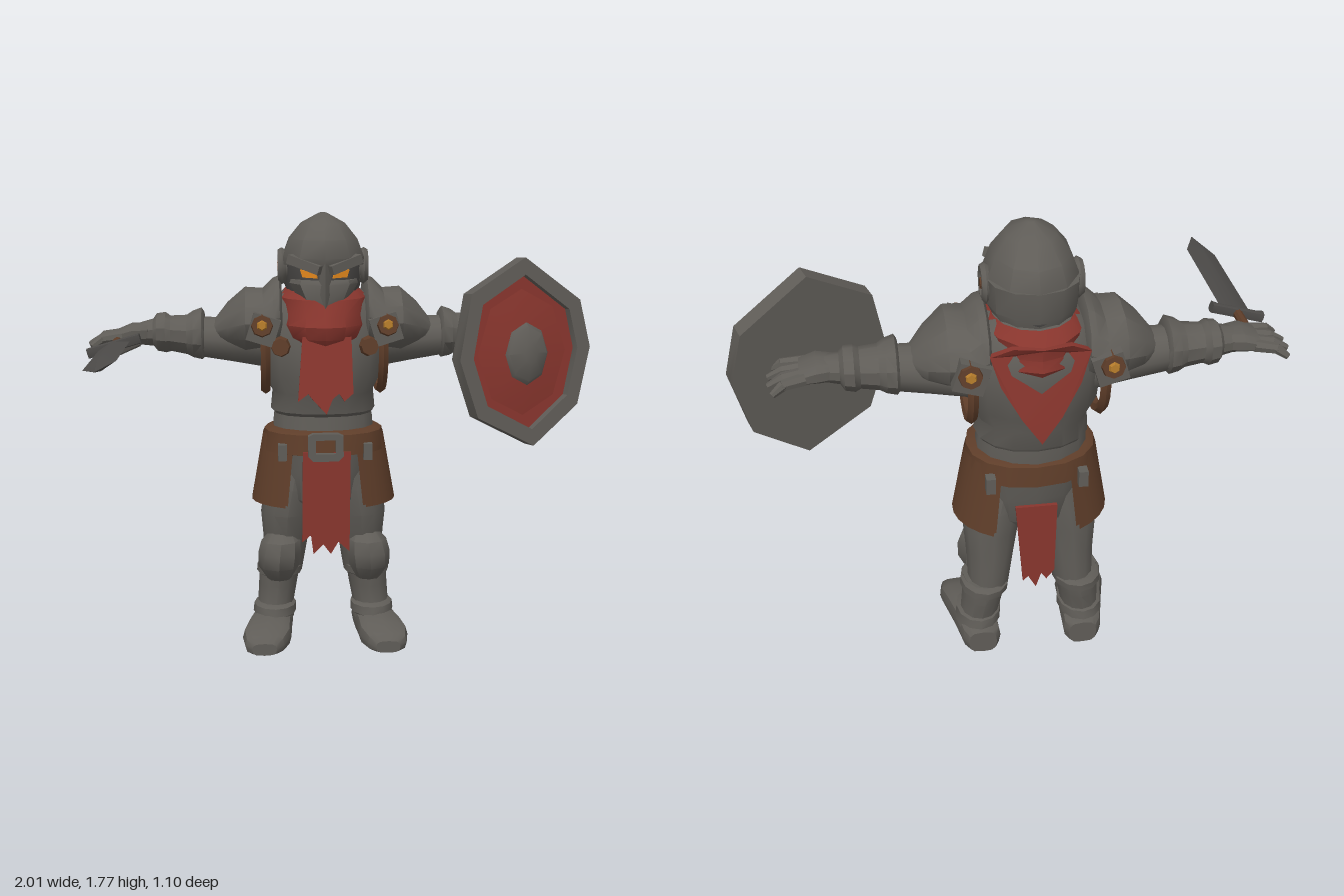
import * as THREE from 'three';
import { toCreasedNormals } from 'three/addons/utils/BufferGeometryUtils.js';

const paint = (name, color, side = THREE.FrontSide) => {
  const m = new THREE.MeshStandardMaterial({ color, side });
  m.name = name;
  return m;
};

// Skin over elliptical rings along an axis (0 x, 1 y, 2 z).
// Ring: [position, centreA, centreB, radiusA, radiusB], A and B being the next two axes in cyclic order.
function loft(axis, rings, n = 12, power = 1) {
  const pos = [], idx = [], a = (axis + 1) % 3, b = (axis + 2) % 3;
  const sp = v => Math.sign(v) * Math.pow(Math.abs(v), power);
  const put = (t, u, v) => { const p = [0, 0, 0]; p[axis] = t; p[a] = u; p[b] = v; pos.push(...p); };
  for (const [t, ca, cb, ra, rb] of rings)
    for (let i = 0; i < n; i++) {
      const w = i / n * Math.PI * 2;
      put(t, ca + ra * sp(Math.cos(w)), cb + rb * sp(Math.sin(w)));
    }
  for (let r = 0; r < rings.length - 1; r++)
    for (let i = 0; i < n; i++) {
      const p = r * n + i, q = r * n + (i + 1) % n;
      idx.push(p, q, q + n, p, q + n, p + n);
    }
  const last = rings.length - 1, end = last * n, c = pos.length / 3;
  put(...rings[0]); put(...rings[last]);
  for (let i = 0; i < n; i++) {
    const j = (i + 1) % n;
    idx.push(c, j, i, c + 1, end + i, end + j);
  }
  const g = new THREE.BufferGeometry();
  g.setAttribute('position', new THREE.Float32BufferAttribute(pos, 3));
  g.setIndex(idx);
  return g;
}

// Tapered rod between two points
function rod(from, to, r1, r2, n = 7) {
  const A = new THREE.Vector3(...from), B = new THREE.Vector3(...to), d = B.clone().sub(A);
  const g = new THREE.CylinderGeometry(r2, r1, d.length(), n);
  g.applyQuaternion(new THREE.Quaternion().setFromUnitVectors(new THREE.Vector3(0, 1, 0), d.normalize()));
  return g.translate(...A.add(B).multiplyScalar(0.5).toArray());
}

const outline = pts => new THREE.Shape(pts.map(p => new THREE.Vector2(...p)));
const slab = (shape, depth) => new THREE.ExtrudeGeometry(shape, { depth, bevelEnabled: false });
const box = (w, h, d, x, y, z) => new THREE.BoxGeometry(w, h, d).translate(x, y, z);

function mirror(geo) {
  const g = geo.index ? geo.toNonIndexed() : geo.clone();
  g.scale(-1, 1, 1);
  const p = g.attributes.position, v = new THREE.Vector3(), w = new THREE.Vector3();
  for (let i = 0; i < p.count; i += 3) {
    v.fromBufferAttribute(p, i); w.fromBufferAttribute(p, i + 2);
    p.setXYZ(i, w.x, w.y, w.z); p.setXYZ(i + 2, v.x, v.y, v.z);
  }
  return g;
}

export function createModel() {
  const steel = paint('armour grey', 0x5f5c57), red = paint('cloth red', 0x87352d);
  const leather = paint('leather brown', 0x5e3d29, THREE.DoubleSide);
  const dark = paint('dark steel', 0x4c4a48), glow = paint('eye orange', 0xe0861c), gold = paint('stud gold', 0xb27a2a);
  const root = new THREE.Group(), body = new THREE.Group();
  root.name = 'armouredWarrior';
  body.name = 'body';
  body.position.set(-0.07, 0, -0.28);
  root.add(body);

  const add = (name, geo, mat, parent = body) => {
    geo.deleteAttribute('uv');
    geo.deleteAttribute('normal');
    const m = new THREE.Mesh(toCreasedNormals(geo, 0.65), mat);
    m.name = name;
    parent.add(m);
    return m;
  };
  const pair = (name, geo, mat) => { add('left' + name, geo, mat); add('right' + name, mirror(geo), mat); };

  // Helmet with overhanging brow and pointed mask
  add('face', loft(1, [[1.4, 0, 0, 0.13, 0.11], [1.48, 0, 0, 0.175, 0.15], [1.58, 0, 0, 0.175, 0.16]], 12), dark);
  add('helmetBack', loft(1, [[1.44, -0.04, 0, 0.12, 0.13], [1.5, -0.03, 0, 0.15, 0.16], [1.6, -0.03, 0, 0.15, 0.165]]), steel);
  add('helmet', loft(1, [[1.57, 0.02, 0, 0.2, 0.165], [1.6, 0.025, 0, 0.205, 0.167], [1.67, 0.03, 0, 0.18, 0.14],
    [1.73, 0.04, 0, 0.115, 0.09], [1.77, 0.04, 0, 0.015, 0.015]], 10), steel);
  add('mask', loft(1, [[1.36, 0.13, 0, 0.085, 0.035], [1.42, 0.11, 0, 0.115, 0.09], [1.5, 0.1, 0, 0.12, 0.135],
    [1.515, 0.1, 0, 0.11, 0.13]], 8), steel);
  add('noseRidge', loft(1, [[1.36, 0.2, 0, 0.02, 0.012], [1.46, 0.205, 0, 0.035, 0.025], [1.6, 0.2, 0, 0.025, 0.02]], 4), steel);
  pair('Brow', box(0.14, 0.035, 0.05, 0, 0, 0).rotateZ(0.3).rotateY(0.5).translate(0.075, 1.578, 0.185), steel);
  pair('Eye', slab(outline([[-0.035, -0.014], [0.025, -0.012], [0.036, 0.018], [-0.03, 0.004]]), 0.009)
    .rotateY(0.42).translate(0.06, 1.54, 0.187), glow);
  pair('EarRing', new THREE.TorusGeometry(0.055, 0.018, 6, 12).rotateY(Math.PI / 2).translate(0.163, 1.56, 0.01), steel);
  pair('EarDisc', rod([0.12, 1.56, 0.01], [0.17, 1.56, 0.01], 0.055, 0.055, 12), steel);
  pair('EarStud', rod([0.16, 1.56, 0.01], [0.18, 1.56, 0.01], 0.025, 0.02, 8), leather);

  // Torso
  add('belly', loft(1, [[0.84, -0.01, 0, 0.17, 0.21], [0.95, -0.02, 0, 0.165, 0.205], [1.08, -0.02, 0, 0.15, 0.18]], 14), steel);
  add('chestPlate', loft(1, [[0.97, -0.02, 0, 0.165, 0.2], [0.985, -0.015, 0, 0.18, 0.212], [1.06, -0.01, 0, 0.19, 0.205],
    [1.13, -0.01, 0, 0.215, 0.24], [1.25, -0.02, 0, 0.222, 0.25], [1.36, -0.03, 0, 0.21, 0.24],
    [1.44, -0.03, 0, 0.17, 0.19], [1.5, -0.02, 0, 0.1, 0.1]], 16, 0.9), steel);

  // Scarf, bib and back cape
  add('scarf', loft(1, [[1.23, 0.07, 0, 0.13, 0.09], [1.29, 0.015, 0, 0.24, 0.16], [1.34, 0.005, 0, 0.262, 0.18],
    [1.38, 0, 0, 0.245, 0.172], [1.44, -0.02, 0, 0.235, 0.18], [1.47, -0.02, 0, 0.17, 0.15], [1.42, -0.02, 0, 0.12, 0.1]], 14), red);
  add('bib', slab(outline([[-0.09, 0], [-0.11, -0.25], [-0.07, -0.22], [-0.055, -0.24], [0, -0.3], [0.025, -0.24],
    [0.05, -0.22], [0.07, -0.25], [0.105, -0.22], [0.1, 0]]), 0.012).rotateX(-0.2).translate(0, 1.3, 0.215), red);
  const cape = slab(outline([[0, 0.02], [-0.1, 0.02], [-0.175, -0.03], [-0.14, -0.14], [-0.07, -0.26], [0, -0.36],
    [0.07, -0.26], [0.14, -0.14], [0.175, -0.03], [0.1, 0.02]]), 0.025);
  const cp = cape.attributes.position;
  for (let i = 0; i < cp.count; i++) cp.setZ(i, cp.getZ(i) + 2 * cp.getX(i) ** 2);
  add('backCape', cape.translate(0, 1.42, -0.272), red);

  // Shoulders with studs and leather straps
  pair('Pauldron', loft(0, [[0.165, 1.37, -0.025, 0.13, 0.17], [0.175, 1.37, -0.025, 0.15, 0.19], [0.2, 1.365, -0.025, 0.145, 0.195],
    [0.24, 1.345, -0.025, 0.125, 0.195], [0.31, 1.345, -0.025, 0.13, 0.185], [0.38, 1.325, -0.03, 0.09, 0.135],
    [0.435, 1.305, -0.03, 0.04, 0.07]], 12), steel);
  for (const [end, s, z] of [['Front', 1, 0.165], ['Back', -1, -0.215]]) {
    pair(end + 'Clasp', box(0.11, 0.11, 0.07, 0, 0, 0).rotateZ(0.3).translate(0.24, 1.325, z - s * 0.01), steel);
    pair(end + 'Stud', rod([0.245, 1.335, z - s * 0.02], [0.245, 1.345, z + s * 0.045], 0.05, 0.04, 8), leather);
    pair(end + 'StudCap', rod([0.245, 1.345, z + s * 0.04], [0.245, 1.347, z + s * 0.055], 0.024, 0.016, 6), gold);
  }
  pair('StrapButton', rod([0.17, 1.255, 0.14], [0.175, 1.26, 0.205], 0.042, 0.034, 8), leather);
  pair('ArmStrap', new THREE.TorusGeometry(0.18, 0.02, 5, 20).rotateY(Math.PI / 2).translate(0.232, 1.24, -0.02), leather);

  // Arms and gauntlets
  pair('UpperArm', loft(0, [[0.18, 1.25, -0.03, 0.11, 0.13], [0.36, 1.262, -0.035, 0.09, 0.1], [0.5, 1.275, -0.035, 0.08, 0.09]]), steel);
  pair('Gauntlet', loft(0, [[0.475, 1.285, -0.035, 0.09, 0.1], [0.485, 1.287, -0.035, 0.105, 0.113], [0.52, 1.285, -0.035, 0.095, 0.105],
    [0.545, 1.283, -0.035, 0.08, 0.09], [0.61, 1.288, -0.04, 0.072, 0.08], [0.63, 1.292, -0.045, 0.082, 0.092],
    [0.665, 1.293, -0.045, 0.076, 0.085], [0.68, 1.293, -0.04, 0.055, 0.065], [0.73, 1.29, -0.03, 0.045, 0.06]], 10), steel);
  pair('Palm', loft(0, [[0.7, 1.292, -0.03, 0.042, 0.06], [0.76, 1.293, -0.025, 0.042, 0.08], [0.82, 1.282, -0.025, 0.028, 0.078]], 10, 0.8), steel);
  for (let i = 0; i < 4; i++) {
    const z = -0.085 + i * 0.04, tip = -0.12 + i * 0.06, bend = 0.88, reach = i === 0 || i === 3 ? 0.915 : 0.93;
    pair('Finger' + (i + 1), rod([0.8, 1.284, z], [bend, 1.275, (z + tip) / 2], 0.024, 0.02), steel);
    pair('Fingertip' + (i + 1), rod([bend - 0.006, 1.277, (z + tip) / 2], [reach, 1.25, tip], 0.02, 0.012), steel);
  }
  pair('Thumb', rod([0.74, 1.27, 0.02], [0.84, 1.22, 0.085], 0.028, 0.016), steel);

  // Belt, buckle and hip guards
  add('pelvis', loft(1, [[0.53, -0.01, 0, 0.06, 0.08], [0.62, -0.01, 0, 0.14, 0.19], [0.74, -0.01, 0, 0.165, 0.205], [0.86, -0.01, 0, 0.18, 0.22]], 12), steel);
  add('belt', loft(1, [[0.82, 0, 0, 0.185, 0.235], [0.825, 0, 0, 0.205, 0.25], [0.905, 0, 0, 0.195, 0.24], [0.915, 0, 0, 0.175, 0.22]], 16, 0.9), leather);
  const frame = outline([[-0.05, -0.055], [0.05, -0.055], [0.07, -0.035], [0.07, 0.045], [0.05, 0.055], [-0.05, 0.055], [-0.07, 0.045], [-0.07, -0.035]]);
  frame.holes.push(new THREE.Path([[-0.04, -0.025], [-0.04, 0.03], [0.04, 0.03], [0.04, -0.025]].map(p => new THREE.Vector2(...p))));
  add('buckle', slab(frame, 0.035).translate(0, 0.862, 0.19), steel);
  pair('HipGuard', new THREE.CylinderGeometry(0.245, 0.295, 0.28, 9, 1, true, 0.58, Math.PI - 1.16).scale(1, 1, 0.79).translate(0, 0.75, -0.005), leather);
  pair('HipGuardLining', new THREE.CylinderGeometry(0.225, 0.275, 0.27, 9, 1, true, 0.58, Math.PI - 1.16).scale(1, 1, 0.79).translate(0, 0.75, -0.005), leather);
  for (const z of [0.165, -0.175]) pair('BeltClip', box(0.035, 0.065, 0.04, 0.17, 0.835, z), steel);

  // Torn tabard, front and back
  add('frontTabard', slab(outline([[-0.09, 0.84], [-0.095, 0.47], [-0.06, 0.5], [-0.05, 0.42], [-0.01, 0.46], [0.02, 0.42],
    [0.05, 0.47], [0.095, 0.43], [0.1, 0.84]]), 0.014).translate(0, 0, 0.185), red);
  add('backTabard', slab(outline([[-0.075, 0.73], [-0.07, 0.42], [-0.04, 0.38], [-0.02, 0.41], [0, 0.345], [0.03, 0.4], [0.05, 0.38],
    [0.06, 0.5], [0.08, 0.73]]), 0.014).translate(0, 0, -0.195), red);

  // Legs and boots
  pair('Thigh', loft(1, [[0.3, -0.06, 0.165, 0.095, 0.08], [0.45, -0.035, 0.155, 0.115, 0.095], [0.55, -0.02, 0.15, 0.128, 0.108],
    [0.66, -0.015, 0.13, 0.13, 0.11], [0.76, -0.01, 0.11, 0.12, 0.09]]), steel);
  pair('KneeGuard', loft(1, [[0.27, 0.03, 0.185, 0.05, 0.05], [0.33, 0.05, 0.188, 0.085, 0.083], [0.39, 0.055, 0.184, 0.093, 0.088],
    [0.44, 0.045, 0.178, 0.085, 0.08], [0.475, 0.02, 0.17, 0.05, 0.05]], 8), steel);
  pair('Shin', loft(1, [[0.08, -0.04, 0.21, 0.1, 0.085], [0.15, -0.045, 0.2, 0.09, 0.075], [0.23, -0.055, 0.19, 0.1, 0.08],
    [0.32, -0.05, 0.18, 0.105, 0.085]]), steel);
  pair('BootCuff', loft(1, [[0.27, -0.06, 0.183, 0.1, 0.08], [0.28, -0.06, 0.183, 0.118, 0.095], [0.31, -0.06, 0.18, 0.12, 0.095], [0.32, -0.06, 0.18, 0.1, 0.08]]), steel);
  pair('AnkleCuff', loft(1, [[0.1, -0.035, 0.205, 0.1, 0.08], [0.11, -0.035, 0.205, 0.118, 0.09], [0.145, -0.035, 0.203, 0.11, 0.088], [0.155, -0.035, 0.202, 0.09, 0.07]]), steel);
  pair('Foot', loft(2, [[-0.16, 0.2, 0.05, 0.055, 0.05], [-0.13, 0.202, 0.055, 0.075, 0.055], [-0.02, 0.215, 0.062, 0.085, 0.062],
    [0.06, 0.228, 0.06, 0.092, 0.06], [0.14, 0.24, 0.052, 0.1, 0.052], [0.205, 0.25, 0.04, 0.08, 0.04], [0.232, 0.252, 0.03, 0.05, 0.025]], 12, 0.65), steel);

  // Eight-sided shield
  const shield = new THREE.Group();
  shield.name = 'shield';
  shield.position.set(0.71, 1.22, -0.17);
  shield.rotation.set(-0.07, 0.33, 0, 'YXZ');
  root.add(shield);
  const edge = [[0, 0.375], [-0.24, 0.24], [-0.295, -0.015], [-0.22, -0.245], [0.03, -0.375], [0.235, -0.22], [0.295, 0.01], [0.25, 0.2]];
  const rim = outline(edge);
  rim.holes.push(new THREE.Path(edge.map(([x, y]) => new THREE.Vector2(x * 0.8, y * 0.82)).reverse()));
  add('shieldRim', slab(rim, 0.06), steel, shield);
  add('shieldBack', slab(outline(edge), 0.02).translate(0, 0, -0.01), steel, shield);
  add('shieldField', slab(outline(edge.map(([x, y]) => [x * 0.83, y * 0.84])), 0.012).translate(0, 0, 0.014), red, shield);
  add('shieldSlope', loft(2, [[0.02, 0, 0, 0.23, 0.29], [0.045, 0, 0, 0.1, 0.13]], 8), red, shield);
  add('shieldBoss', loft(2, [[0.04, 0.01, -0.005, 0.1, 0.13], [0.06, 0.01, -0.005, 0.085, 0.11], [0.08, 0.01, 0, 0.03, 0.04]], 8), steel, shield);

  // Sword held forward in the right hand
  const sword = new THREE.Group();
  sword.name = 'sword';
  sword.position.set(-0.885, 1.27, 0);
  sword.rotation.z = 0.28;
  root.add(sword);
  add('blade', loft(2, [[-0.1, 0, 0, 0.062, 0.02], [0.41, 0, 0, 0.062, 0.02], [0.55, 0, 0, 0.002, 0.002]], 4), dark, sword);
  add('guard', loft(0, [[-0.105, 0, -0.09, 0.02, 0.022], [-0.08, 0, -0.095, 0.02, 0.015], [0.08, 0, -0.095, 0.02, 0.015], [0.105, 0, -0.09, 0.02, 0.022]], 8, 0.6), dark, sword);
  add('grip', rod([0, 0, -0.3], [0, 0, -0.1], 0.018, 0.018, 8), leather, sword);
  add('pommel', rod([0, 0, -0.335], [0, 0, -0.295], 0.018, 0.027, 8), dark, sword);
  return root;
}
